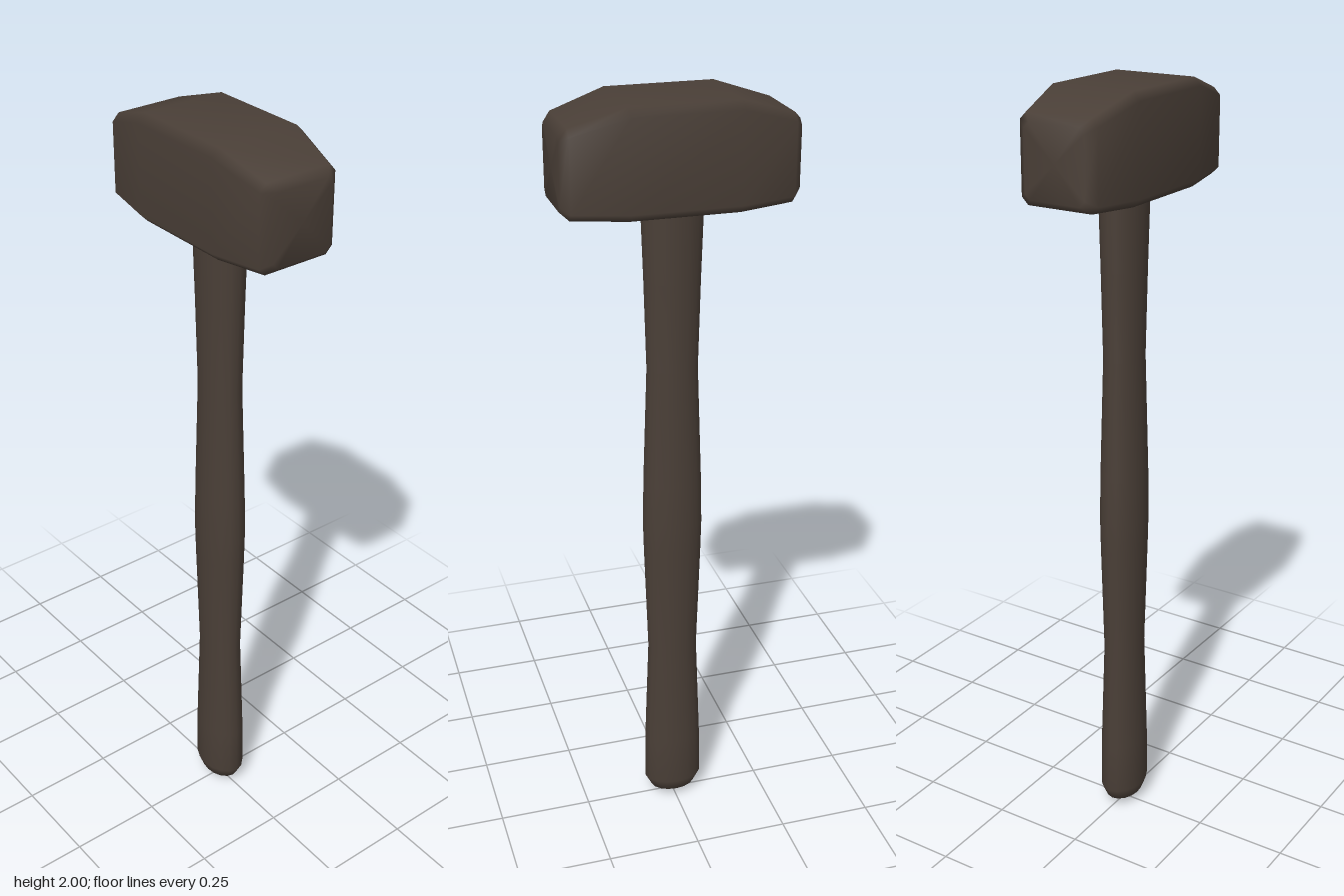
import * as THREE from 'three';

// Chamfered rectangular cross-sections lofted along x, closed at both ends
function loftHead(sections) {
  const pos = [], index = [], n = 8;
  for (const [x, y0, y1, w, c] of sections) {
    const ring = [
      [y1, -w + c], [y1, w - c], [y1 - c, w], [y0 + c, w],
      [y0, w - c], [y0, -w + c], [y0 + c, -w], [y1 - c, -w],
    ];
    for (const [y, z] of ring) pos.push(x, y, z);
  }
  const last = (sections.length - 1) * n;
  for (let i = 0; i < last; i += n) {
    for (let j = 0; j < n; j++) {
      const a = i + j, b = i + (j + 1) % n;
      index.push(a, b, a + n, b, b + n, a + n);
    }
  }
  for (const [base, flip] of [[0, true], [last, false]]) {
    const s = sections[base / n];
    const centre = pos.length / 3;
    pos.push(s[0], (s[1] + s[2]) / 2, 0);
    for (let j = 0; j < n; j++) {
      const a = base + j, b = base + (j + 1) % n;
      index.push(centre, flip ? b : a, flip ? a : b);
    }
  }
  const g = new THREE.BufferGeometry();
  g.setAttribute('position', new THREE.Float32BufferAttribute(pos, 3));
  g.setIndex(index);
  g.computeVertexNormals();
  return g;
}

export function createModel() {
  const group = new THREE.Group();
  const darkBrown = new THREE.MeshStandardMaterial({ color: 0x4a3f37 });
  darkBrown.name = 'darkBrown';

  // Head: x, bottom, top, half depth, chamfer; mirrored about x = 0
  const half = [
    [0.135, 1.738, 2.0, 0.13, 0.02],
    [0.271, 1.745, 1.957, 0.106, 0.018],
    [0.291, 1.762, 1.938, 0.082, 0.014],
  ];
  const mirrored = half.map(([x, ...rest]) => [-x, ...rest]).reverse();
  const head = new THREE.Mesh(loftHead([...mirrored, ...half]), darkBrown);
  head.name = 'hammerHead';
  group.add(head);

  // Handle: oval shaft swelling at the grip, rounded at the butt
  const profile = [
    [0, 0], [0.03, 0.01], [0.062, 0.025], [0.08, 0.06], [0.079, 0.2], [0.068, 0.5],
    [0.078, 0.8], [0.08, 0.88], [0.078, 1.0], [0.067, 1.32], [0.073, 1.55], [0.08, 1.76],
  ].map(([r, y]) => new THREE.Vector2(r, y));
  const shaft = new THREE.LatheGeometry(profile, 16);
  shaft.scale(1, 1, 0.7);
  const handle = new THREE.Mesh(shaft, darkBrown);
  handle.name = 'handle';
  group.add(handle);

  return group;
}
